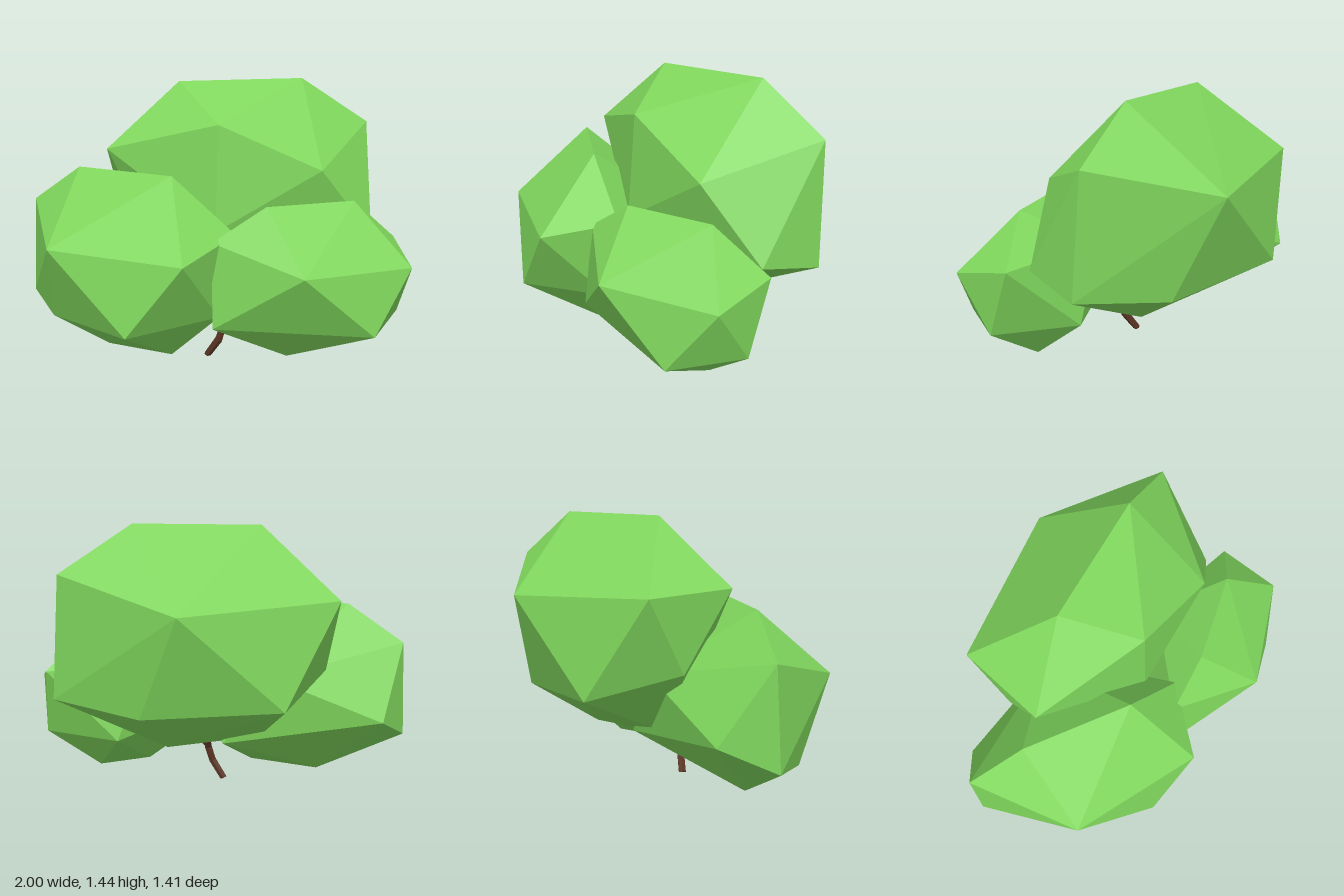
import * as THREE from 'three';
import { ConvexGeometry } from 'three/addons/geometries/ConvexGeometry.js';

const leafMaterial = new THREE.MeshStandardMaterial({ color: 0x7fd65c, flatShading: true });
const barkMaterial = new THREE.MeshStandardMaterial({ color: 0x5a3424, flatShading: true });

// Faceted leaf clump: the hull of a few corner points
function clump(name, corners) {
  const points = corners.map((c) => new THREE.Vector3(...c));
  const mesh = new THREE.Mesh(new ConvexGeometry(points), leafMaterial);
  mesh.name = name;
  return mesh;
}

// Bent limb: six-sided rings lofted along a path, tapering from r0 to r1
function limb(name, path, r0, r1) {
  const sides = 6, position = [], index = [];
  const pts = path.map((p) => new THREE.Vector3(...p));
  pts.forEach((p, i) => {
    const dir = pts[Math.min(i + 1, pts.length - 1)].clone().sub(pts[Math.max(i - 1, 0)]).normalize();
    const q = new THREE.Quaternion().setFromUnitVectors(new THREE.Vector3(0, 1, 0), dir);
    const r = THREE.MathUtils.lerp(r0, r1, i / (pts.length - 1));
    for (let s = 0; s < sides; s++) {
      const a = (s / sides) * Math.PI * 2;
      const v = new THREE.Vector3(Math.sin(a) * r, 0, Math.cos(a) * r).applyQuaternion(q).add(p);
      position.push(v.x, Math.max(v.y, 0), v.z);
      if (i > 0) {
        const t = (s + 1) % sides, lo = (i - 1) * sides, hi = i * sides;
        index.push(lo + s, lo + t, hi + t, lo + s, hi + t, hi + s);
      }
    }
  });
  // end caps
  const top = (pts.length - 1) * sides;
  for (let s = 1; s < sides - 1; s++) index.push(0, s + 1, s, top, top + s, top + s + 1);
  const geometry = new THREE.BufferGeometry();
  geometry.setAttribute('position', new THREE.Float32BufferAttribute(position, 3));
  geometry.setIndex(index);
  geometry.computeVertexNormals();
  const mesh = new THREE.Mesh(geometry, barkMaterial);
  mesh.name = name;
  return mesh;
}

export function createModel() {
  const tree = new THREE.Group();
  tree.name = 'tree';

  // Large crown at the back
  tree.add(clump('backFoliage', [
    [-0.20, 1.43, -0.12], [0.45, 1.44, -0.27], [0.04, 1.24, 0.21], [0.56, 1.01, 0.17],
    [0.81, 1.20, -0.36], [0.24, 1.03, -0.71], [-0.56, 1.07, -0.42], [-0.56, 1.09, 0.06],
    [0.85, 0.58, -0.33], [0.83, 0.64, 0.00], [0.42, 0.52, -0.54], [-0.27, 0.56, -0.60],
    [-0.53, 0.69, -0.20], [0.03, 0.70, 0.25], [0.29, 0.29, -0.20], [-0.20, 0.30, -0.05],
  ]));

  // Medium crown, front right
  tree.add(clump('rightFoliage', [
    [-0.70, 1.00, 0.10], [-0.18, 1.00, 0.33], [-0.98, 0.80, -0.02], [-0.77, 0.66, 0.52],
    [-0.08, 0.64, 0.70], [0.14, 0.72, 0.37], [-1.00, 0.29, 0.00], [-0.82, 0.24, 0.28],
    [-0.36, 0.28, 0.69], [0.06, 0.30, 0.40], [-0.55, 0.05, 0.17], [-0.19, 0.065, 0.33],
    [-0.83, 0.41, -0.235], [-0.25, 0.65, -0.22], [0.00, 0.29, -0.15],
  ]));

  // Small crown, front left
  tree.add(clump('leftFoliage', [
    [0.29, 0.87, 0.40], [0.72, 0.87, 0.21], [0.03, 0.70, 0.46], [0.48, 0.59, 0.67],
    [1.00, 0.575, 0.37], [0.94, 0.65, 0.04], [0.82, 0.27, 0.53], [0.96, 0.29, 0.17],
    [0.04, 0.28, 0.52], [0.40, 0.08, 0.33], [0.67, 0.09, 0.18], [0.56, 0.28, -0.04],
    [0.40, 0.68, 0.00], [0.14, 0.40, 0.18],
  ]));

  // Crooked trunk and its side branches
  tree.add(limb('trunk', [[-0.02, 0, 0.16], [0.04, 0.10, 0.19], [0.065, 0.18, 0.19],
    [0.07, 0.25, 0.15], [0.09, 0.36, 0.08]], 0.022, 0.02));
  tree.add(limb('leftBranch', [[0.065, 0.19, 0.18], [0.11, 0.23, 0.19], [0.18, 0.27, 0.23]], 0.018, 0.014));
  tree.add(limb('rightBranch', [[0.068, 0.22, 0.17], [0.04, 0.27, 0.20], [-0.05, 0.33, 0.24]], 0.016, 0.012));

  return tree;
}
